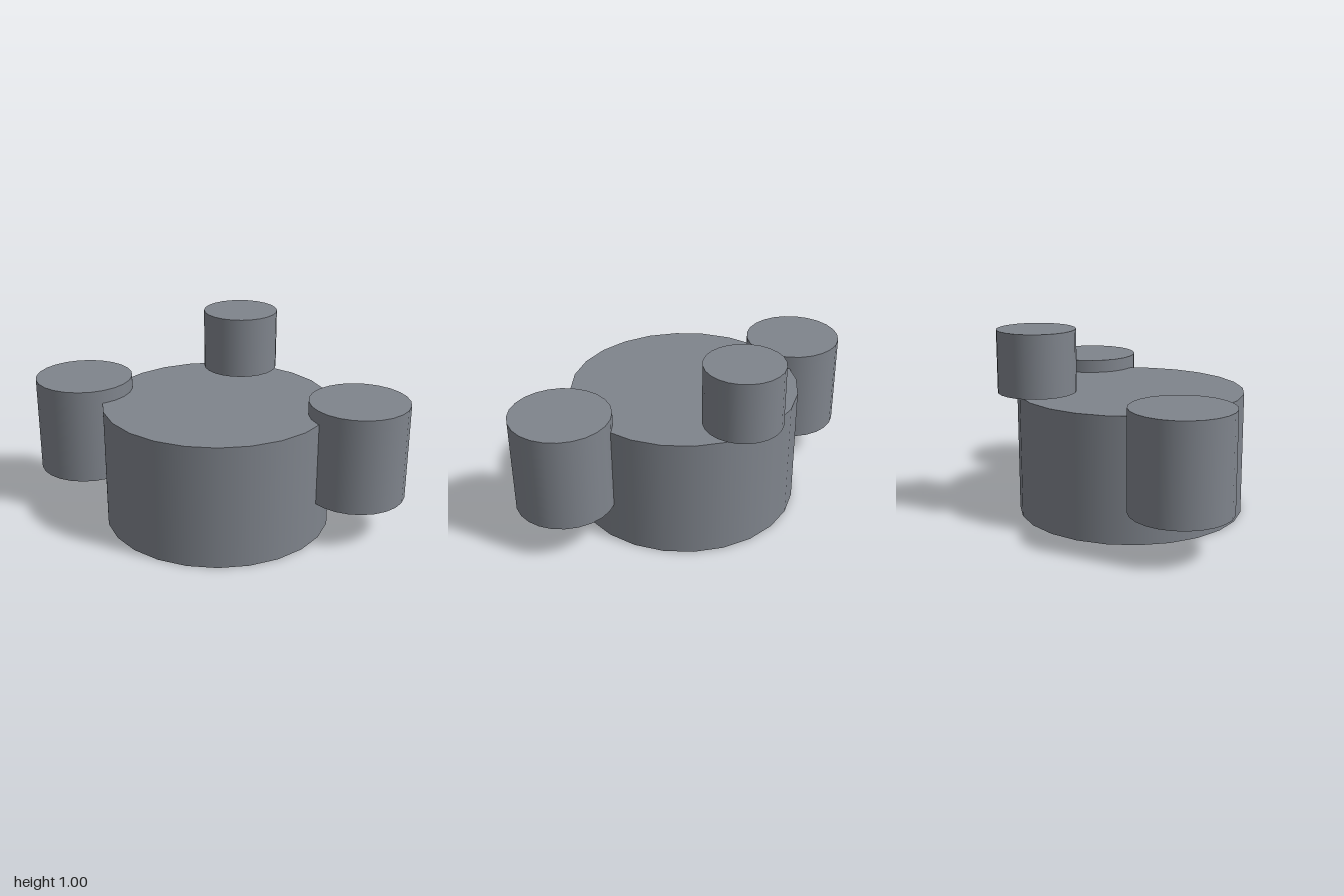
import * as THREE from 'three';

export function createModel() {
  const group = new THREE.Group();
  const material = new THREE.MeshStandardMaterial({ color: 0x7f848c });

  // Upright closed drum spanning y0..y1
  const drum = (name, radius, y0, y1, x, z) => {
    const mesh = new THREE.Mesh(new THREE.CylinderGeometry(radius, radius, y1 - y0, 24), material);
    mesh.name = name;
    mesh.position.set(x, (y0 + y1) / 2, z);
    group.add(mesh);
  };

  // Wide central body
  drum('body', 0.602, 0, 0.648, 0, 0.055);

  // Mirrored side drums, sunk into the body
  for (const side of [1, -1]) {
    drum(side > 0 ? 'leftDrum' : 'rightDrum', 0.258, 0.21, 0.718, side * 0.742, 0.056);
  }

  // Small drum floating above the back rim
  drum('backDrum', 0.203, 0.673, 0.997, 0, -0.454);

  return group;
}
